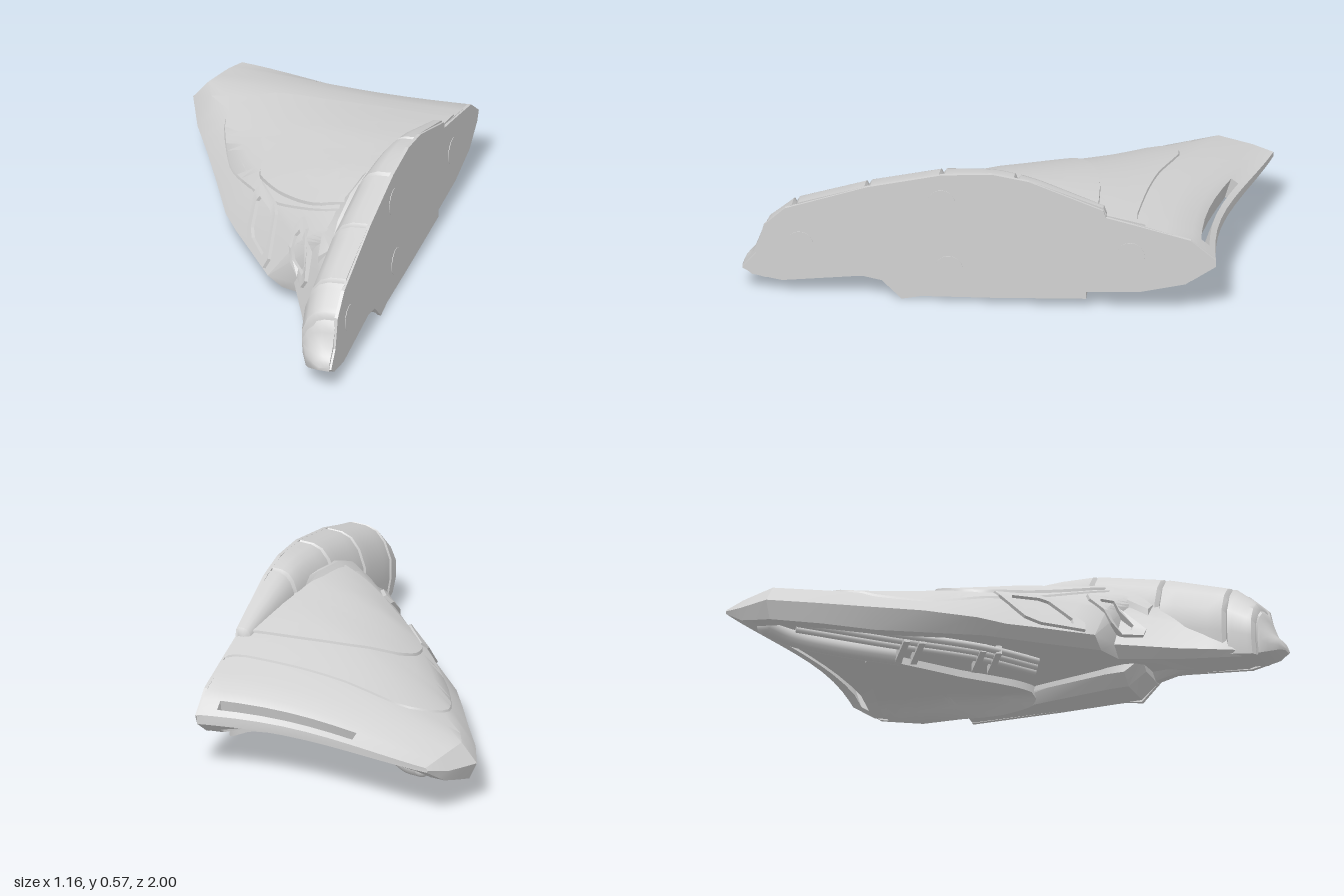
import * as THREE from 'three';
import { toCreasedNormals } from 'three/addons/utils/BufferGeometryUtils.js';

const V = (x, y, z) => new THREE.Vector3(x, y, z);
const lerp = THREE.MathUtils.lerp;
const WALL = 0.565;

// Skin a list of rings; skip(i, j) leaves a quad open
function loft(rings, { caps = true, skip = () => false, flip = false, crease = 0.6 } = {}) {
  const n = rings[0].length, pos = [], idx = [];
  rings.forEach(r => r.forEach(p => pos.push(p.x, p.y, p.z)));
  const quad = (a, d, c, b) => (flip ? idx.push(a, c, d, a, b, c) : idx.push(a, d, c, a, c, b));
  for (let i = 0; i < rings.length - 1; i++)
    for (let j = 0; j < n; j++) {
      if (skip(i, j)) continue;
      const k = (j + 1) % n;
      quad(i * n + j, (i + 1) * n + j, (i + 1) * n + k, i * n + k);
    }
  if (caps) {
    const e = (rings.length - 1) * n;
    for (let k = 0; k < Math.floor(n / 2); k++) {
      const m = n - 1 - k;
      quad(k, k + 1, m - 1, m);
      quad(e + k, e + m, e + m - 1, e + k + 1);
    }
  }
  const g = new THREE.BufferGeometry();
  g.setAttribute('position', new THREE.Float32BufferAttribute(pos, 3));
  g.setIndex(idx);
  return toCreasedNormals(g, crease);
}

// Linear lookup in rows sorted by their first entry
function sample(rows, z) {
  let i = 0;
  while (i < rows.length - 2 && z > rows[i + 1][0]) i++;
  const f = (z - rows[i][0]) / (rows[i + 1][0] - rows[i][0]);
  return rows[i].map((v, k) => lerp(v, rows[i + 1][k], f));
}

export function createModel() {
  const model = new THREE.Group();
  const grey = new THREE.MeshStandardMaterial({ color: 0xd2d2d2, side: THREE.DoubleSide });
  grey.name = 'hullGrey';
  const add = (name, geo) => {
    const m = new THREE.Mesh(geo, grey);
    m.name = name;
    model.add(m);
    return m;
  };

  // Wing hull stations: index, edge x, edge z, edge bottom y, shoulder y, shoulder inset, wall z, wall top, wall bottom, recess
  const stations = [
    [0, -0.46, -1, 0.215, 0.235, 0.01, -0.9, 0.26, 0.22, 0],
    [1, -0.52, -0.91, 0.15, 0.25, 0.04, -0.8, 0.335, 0.15, 0.03],
    [2, -0.58, -0.77, 0.11, 0.262, 0.065, -0.6, 0.385, 0.1, 0.05],
    [3, -0.5, -0.58, 0.09, 0.25, 0.07, -0.42, 0.42, 0.08, 0.06],
    [4, -0.4, -0.4, 0.075, 0.25, 0.09, -0.2, 0.45, 0.05, 0.06],
    [5, -0.2, -0.02, 0.07, 0.27, 0.12, 0.1, 0.47, 0.03, 0.06],
    [6, -0.05, 0.17, 0.065, 0.28, 0.13, 0.3, 0.46, 0.03, 0.05],
    [7, 0.1, 0.36, 0.06, 0.27, 0.12, 0.42, 0.44, 0.07, 0.03],
    [8, 0.22, 0.39, 0.06, 0.29, 0.09, 0.5, 0.42, 0.09, 0.02],
    [9, 0.33, 0.62, 0.06, 0.22, 0.07, 0.65, 0.36, 0.08, 0],
    [10, 0.41, 0.82, 0.06, 0.17, 0.04, 0.83, 0.26, 0.06, 0],
    [11, 0.5, 0.93, 0.08, 0.12, 0.02, 0.97, 0.13, 0.09, 0],
  ];
  const ts = [0, 0.06, 0.12, 0.2, 0.28, 0.35, 0.45, 0.55, 0.65, 0.75, 0.85, 0.93, 1];
  const n = ts.length;
  const hullRing = s => {
    const [id, ex, ez, eb, es, inset, wz, wt, wb, rec] = sample(stations, s);
    const sag = 0.06 * Math.max(0, 1 - id / 4);
    const zAt = t => lerp(ez, wz, t) + sag * Math.sin(Math.PI * t ** 1.4);
    const top = ts.map(t => V(lerp(ex + inset, WALL, t), lerp(es, wt, 1 - (1 - t) ** 2), zAt(t)));
    const low = ts.map(t => V(lerp(ex + inset * 0.5, WALL, t),
      lerp(eb, wb, t) + (t > 0.1 && t < 0.9 ? rec : 0), zAt(t)));
    const noseLine = lerp(0.47, 0.2, THREE.MathUtils.smoothstep(id, 4, 5.5));
    return [V(ex, lerp(eb, es, noseLine), ez), ...top, ...low.reverse()];
  };
  const rows = [0, 0.25, 0.6, 0.95, 1.5, 2, 2.5, 3, 3.5, 4, 4.5, 5, 5.5, 6, 6.5, 7, 8, 8.5, 9, 9.5, 10, 10.5, 11].map(hullRing);
  const k0 = 5, k1 = 11; // rear slot columns; the slot slants forward on its way down
  const inSlot = (i, j) => (i === 1 && j > k0 && j <= k1) || (i === 2 && j >= 2 * n - k1 && j < 2 * n - k0);
  const hull = add('wingHull', loft(rows, { skip: inSlot }));
  const rim = (row, index) => {
    const a = [], b = [];
    for (let k = k0; k <= k1; k++) { a.push(rows[row][index(k)]); b.unshift(rows[row + 1][index(k)]); }
    return [...a, ...b];
  };
  add('rearSlotWalls', loft([rim(1, k => 1 + k), rim(2, k => 2 * n - k)], { caps: false }));

  // Find the hull surface along a ray
  hull.updateMatrixWorld();
  const ray = new THREE.Raycaster();
  const hitHull = (from, dir) => {
    ray.set(from, dir);
    const hit = ray.intersectObject(hull)[0];
    return hit && hit.point;
  };
  const heightAt = (x, z, dir) => hitHull(V(x, 2 * dir, z), V(0, -dir, 0))?.y ?? 0.2;

  // Raised plates that follow the hull, above (dir 1) or below (dir -1)
  function plate(name, outline, h, dir = 1) {
    const path = new THREE.CatmullRomCurve3(outline.map(([x, z]) => V(x, 0, z)), true, 'catmullrom', 0.35);
    const pts = path.getSpacedPoints(72).slice(0, -1);
    const c = pts.reduce((s, p) => s.add(p), V(0, 0, 0)).divideScalar(pts.length);
    const rings = [[1, -0.01], [0.985, h], [0.85, h], [0.7, h], [0.5, h], [0.3, h], [0.12, h], [0.001, h]].map(([k, up]) =>
      pts.map(p => {
        const x = Math.min(lerp(c.x, p.x, k), WALL - 0.003), z = lerp(c.z, p.z, k);
        return V(x, heightAt(x, z, dir) + up * dir, z);
      }));
    const area = pts.reduce((s, p, i) => {
      const q = pts[(i + 1) % pts.length];
      return s + p.x * q.z - q.x * p.z;
    }, 0);
    return add(name, loft(rings, { caps: false, flip: area * dir < 0 }));
  }
  plate('outerArmorPlate', [[0.7, -0.58], [0.5, -0.58], [0.25, -0.59], [0.05, -0.61], [-0.22, -0.66], [-0.34, -0.59], [-0.36, -0.48],
    [-0.25, -0.22], [-0.08, 0], [0.1, 0.16], [0.35, 0.3], [0.7, 0.3]], 0.008);
  plate('innerArmorPlate', [[0.7, -0.43], [0.5, -0.425], [0.3, -0.405], [0.12, -0.36], [-0.04, -0.27], [-0.09, -0.17], [-0.07, -0.05],
    [0.08, 0.11], [0.3, 0.26], [0.7, 0.28]], 0.018);
  plate('bellyPlate', [[0.5, -0.72], [0.25, -0.68], [0, -0.6], [0, -0.53], [0.2, -0.3], [0.38, -0.1], [0.48, -0.06], [0.5, -0.3]], 0.03, -1);

  // Segmented spine: z, width, top y, bottom y
  const spineRows = [
    [-0.46, 0.05, 0.45, 0.38], [-0.15, 0.1, 0.555, 0.38], [0, 0.125, 0.578, 0.32], [0.2, 0.155, 0.562, 0.25],
    [0.5, 0.17, 0.49, 0.13], [0.8, 0.165, 0.392, 0.07], [0.91, 0.145, 0.3, 0.06], [0.95, 0.12, 0.18, 0.07], [1, 0.06, 0.125, 0.095],
  ];
  const spineRing = (z, inset) => {
    const [, w0, t0, b] = sample(spineRows, z);
    const w = w0 - inset, t = t0 - inset, d = t - b;
    return [V(WALL - w * 0.9, b, z), V(WALL - w, b + d * 0.3, z), V(WALL - w, t - d * 0.42, z), V(WALL - w * 0.85, t - d * 0.2, z),
      V(WALL - w * 0.65, t - d * 0.07, z), V(WALL - w * 0.4, t - d * 0.015, z), V(WALL, t, z), V(WALL, b, z)];
  };
  const cuts = [-0.46, -0.1, 0.2, 0.5, 0.79, 0.91, 1];
  for (let i = 0; i < cuts.length - 1; i++) {
    const a = cuts[i], b = cuts[i + 1], e = 0.012;
    const mids = [0.25, 0.5, 0.75].map(f => spineRing(lerp(a, b, f), 0));
    add('spineSegment' + (i + 1), loft([spineRing(a, 0.02), spineRing(a + e, 0), ...mids, spineRing(b - e, 0), spineRing(b, 0.015)]));
  }

  // Sloped collar between spine and wing: z, outer x, outer y, inner x, inner y
  const collar = [[-0.42, 0.52, 0.42, 0.54, 0.44], [-0.1, 0.45, 0.455, 0.48, 0.505], [0.1, 0.39, 0.45, 0.43, 0.495],
    [0.25, 0.355, 0.42, 0.41, 0.475], [0.38, 0.335, 0.36, 0.4, 0.42], [0.48, 0.35, 0.3, 0.4, 0.34]];
  add('spineCollar', loft(collar.map(([z, ox, oy, ix, iy]) =>
    [V(ox, oy - 0.1, z), V(ox, oy, z), V(ix, iy, z), V(WALL - 0.01, iy, z), V(WALL - 0.01, oy - 0.1, z)])));

  // Keel block under the hull: z, width, bottom y
  const keel = [[-0.38, 0.05, 0.052], [0, 0.13, 0.03], [0.28, 0.18, 0.015], [0.36, 0.18, 0.012], [0.43, 0.16, 0.07]];
  add('keel', loft(keel.map(([z, w, b]) => [V(WALL - w, b + 0.05, z), V(WALL - w, 0.13, z), V(WALL, 0.13, z),
    V(WALL, b, z), V(WALL - w * 0.75, b + 0.005, z)])));

  // Flat side wall and its round bosses, drawn in (-z, y)
  const outline = [[1, 0.105], [0.945, 0.17], [0.915, 0.295], [0.83, 0.375], [0.5, 0.49], [0.2, 0.562], [0, 0.578], [-0.15, 0.555],
    [-0.45, 0.445], [-0.46, 0.415], [-0.57, 0.39], [-0.8, 0.335], [-0.9, 0.255], [-0.88, 0.215], [-0.78, 0.14], [-0.6, 0.095],
    [-0.38, 0.08], [-0.38, 0.05], [0, 0.03], [0.28, 0.02], [0.36, 0.003], [0.44, 0.08], [0.52, 0.095], [0.84, 0.055], [0.96, 0.075]];
  const wall = add('sideWall', new THREE.ExtrudeGeometry(new THREE.Shape(outline.map(([z, y]) => new THREE.Vector2(-z, y))),
    { depth: 0.014, bevelEnabled: false }));
  wall.rotation.y = Math.PI / 2;
  wall.position.x = 0.56;
  for (const [z, y] of [[0.2, 0.44], [0.77, 0.22], [0.17, 0.15], [-0.56, 0.255]]) {
    const boss = add('wallBoss', new THREE.CylinderGeometry(0.055, 0.055, 0.004, 32));
    boss.rotation.z = Math.PI / 2;
    boss.position.set(0.574, y, z);
  }

  // Intake frames laid onto the leading slope: outline in (x, y), clockwise from the front
  function intake(name, pts, thick) {
    const cx = pts.reduce((s, p) => s + p[0], 0) / pts.length, cy = pts.reduce((s, p) => s + p[1], 0) / pts.length;
    const rings = [[1, -0.02], [0.97, thick], [0.7, thick], [0.66, -0.02]].map(([k, out]) => pts.map(([px, py]) => {
      const x = lerp(cx, px, k), y = lerp(cy, py, k);
      const z = hitHull(V(x, y, 3), V(0, 0, -1))?.z ?? 0.2;
      return V(x - out * 0.6, y + out * 0.3, z + out * 0.6);
    }));
    add(name, loft(rings, { caps: false, flip: true, crease: 0.4 }));
  }
  intake('outerIntakeFrame', [[-0.06, 0.27], [-0.04, 0.3], [0.06, 0.3], [0.085, 0.28], [0.1, 0.15], [0.08, 0.11], [-0.03, 0.125],
    [-0.055, 0.155]], 0.016);
  intake('innerIntakeFrame', [[0.2, 0.31], [0.225, 0.345], [0.265, 0.335], [0.285, 0.28], [0.31, 0.18], [0.29, 0.145], [0.25, 0.145],
    [0.21, 0.19], [0.195, 0.25]], 0.016);

  // Pipes and clamps under the wing
  const pipe = (name, pts, r) => add(name, new THREE.TubeGeometry(new THREE.CatmullRomCurve3(pts.map(p => V(...p))), 32, r, 12));
  const end = V(-0.38, 0.165, -0.86);
  pipe('exhaustPipe', [[0, 0.115, -0.44], [-0.18, 0.125, -0.66], [-0.3, 0.145, -0.8], end.toArray()], 0.036);
  add('exhaustPipeEnd', new THREE.SphereGeometry(0.036, 16, 12)).position.copy(end);
  for (let i = 0; i < 3; i++) {
    const o = i * 0.045;
    pipe('thinPipe', [[0.32 - o, 0.1, 0 + o * 0.6], [0.11 - o, 0.1, -0.15 + o * 0.6],
      [-0.13 - o, 0.11, -0.43 + o * 0.6], [-0.36 - o, 0.14, -0.74 + o * 0.6]], 0.014);
  }
  for (const [x, z] of [[0.15, -0.1], [0.11, -0.15], [-0.06, -0.34], [-0.1, -0.39]]) {
    const clamp = add('pipeClamp', new THREE.BoxGeometry(0.2, 0.035, 0.025));
    clamp.position.set(x, 0.1, z);
    clamp.rotation.y = 0.6;
  }
  return model;
}
